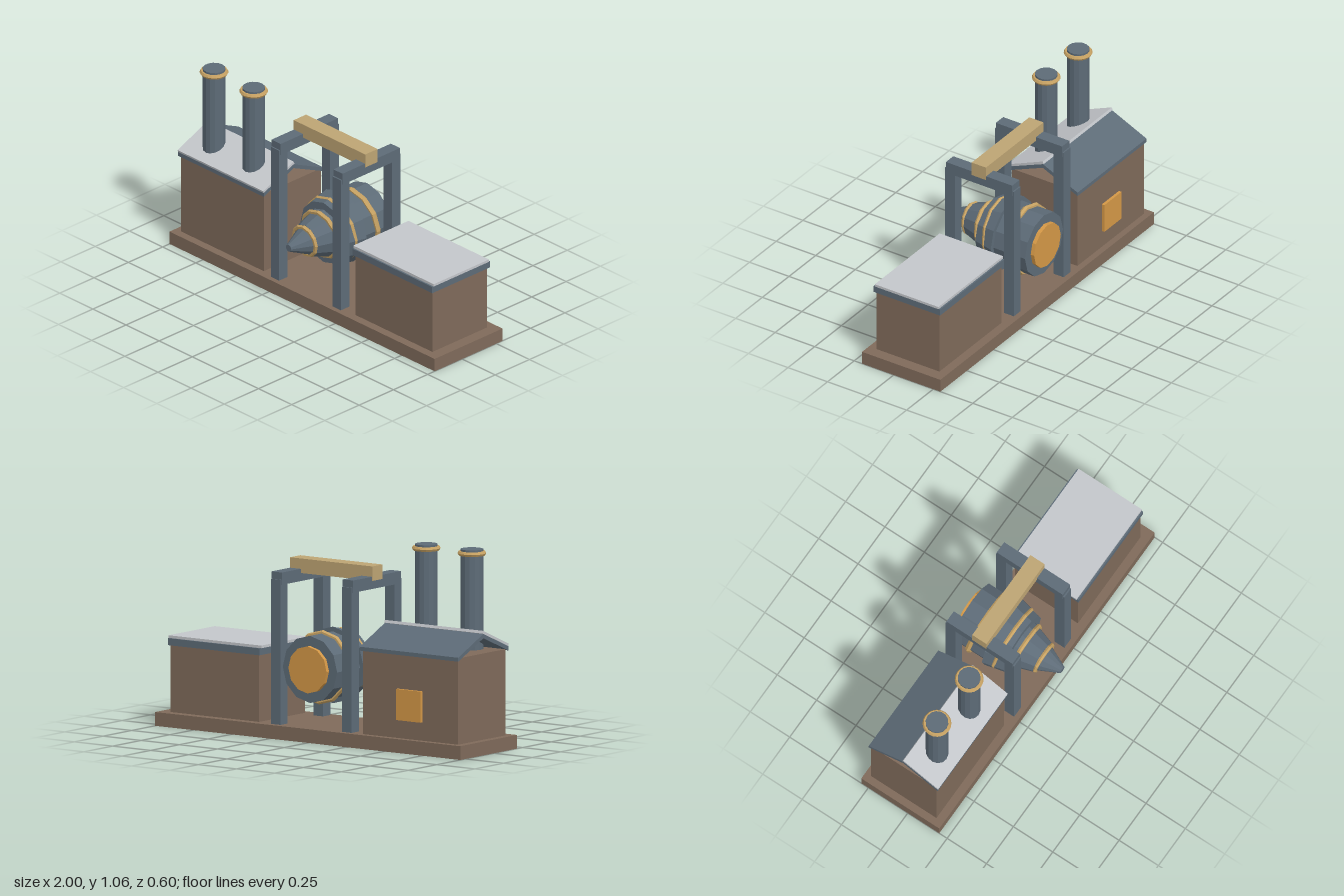
import * as THREE from 'three';

const mat = (name, color) => {
  const m = new THREE.MeshStandardMaterial({ color });
  m.name = name;
  m.flatShading = true;
  return m;
};

export function createModel() {
  const model = new THREE.Group();
  model.name = 'industrialPlant';
  const brown = mat('brown', 0x7f6a5a);
  const slate = mat('slate', 0x5d6b77);
  const pale = mat('paleGrey', 0xc3c6ca);
  const brass = mat('brass', 0xc7a263);
  const tan = mat('tan', 0xbda473);
  const amber = mat('amber', 0xd39746);

  const add = (name, geo, material, parent = model) => {
    const mesh = new THREE.Mesh(geo, material);
    mesh.name = name;
    parent.add(mesh);
    return mesh;
  };
  // Box given by its limits on each axis
  const box = (name, [x0, x1], [y0, y1], [z0, z1], material) => {
    const mesh = add(name, new THREE.BoxGeometry(x1 - x0, y1 - y0, z1 - z0), material);
    mesh.position.set((x0 + x1) / 2, (y0 + y1) / 2, (z0 + z1) / 2);
    return mesh;
  };
  // Prism along x from a cross-section of [z, y] points
  const prism = (name, points, x0, x1, material) => {
    const shape = new THREE.Shape(points.map(([z, y]) => new THREE.Vector2(-z, y)));
    const geo = new THREE.ExtrudeGeometry(shape, { depth: x1 - x0, bevelEnabled: false });
    geo.rotateY(Math.PI / 2).translate(x0, 0, 0);
    return add(name, geo, material);
  };

  box('base', [-1, 1], [0, 0.073], [-0.295, 0.2], brown);

  // Tall building with pitched roof
  box('tallBuilding', [-0.96, -0.335], [0.073, 0.53], [-0.26, 0.155], brown);
  const x0 = -0.968, x1 = -0.322;
  prism('roofSlabs', [[0.168, 0.522], [0.168, 0.544], [-0.05, 0.636], [-0.27, 0.536],
    [-0.27, 0.515], [-0.05, 0.613]], x0, x1, slate);
  prism('roofPanel', [[0.168, 0.545], [0.172, 0.557], [-0.05, 0.652], [-0.056, 0.638]], x0, x1, pale);
  box('rearHatch', [-0.725, -0.565], [0.17, 0.335], [-0.276, -0.255], amber);

  // Chimneys with brass collars
  for (const x of [-0.812, -0.513]) {
    const chimney = new THREE.Group();
    chimney.name = 'chimney';
    chimney.position.set(x, 0, 0.057);
    model.add(chimney);
    add('chimneyPipe', new THREE.CylinderGeometry(0.06, 0.06, 0.53, 14).translate(0, 0.795, 0), slate, chimney);
    add('chimneyCollar', new THREE.TorusGeometry(0.063, 0.013, 6, 20)
      .rotateX(Math.PI / 2).translate(0, 1.038, 0), brass, chimney);
  }

  // Low building with flat roof
  box('lowBuilding', [0.355, 0.935], [0.073, 0.43], [-0.245, 0.153], brown);
  box('lowRoof', [0.345, 0.945], [0.428, 0.465], [-0.256, 0.164], slate);
  box('lowRoofPanel', [0.34, 0.947], [0.465, 0.479], [-0.247, 0.155], pale);

  // Gantry: two mirrored frames and a cross beam
  for (const side of [-1, 1]) {
    const span = (a, b) => (side > 0 ? [a, b] : [-b, -a]);
    box('frontPost', span(0.202, 0.264), [0.073, 0.842], [0.11, 0.172], slate);
    box('backPost', span(0.202, 0.264), [0.073, 0.842], [-0.263, -0.2], slate);
    box('frameBeam', span(0.199, 0.268), [0.815, 0.88], [-0.255, 0.164], slate);
  }
  box('crossBeam', [-0.27, 0.27], [0.858, 0.935], [-0.09, 0], tan);

  // Turbine, lying along z
  const turbine = new THREE.Group();
  turbine.name = 'turbine';
  turbine.position.set(0, 0.387, 0);
  model.add(turbine);
  const stage = (name, rBack, rFront, z0, z1, material) => add(name,
    new THREE.CylinderGeometry(rFront, rBack, z1 - z0, 12)
      .rotateX(Math.PI / 2).translate(0, 0, (z0 + z1) / 2), material, turbine);
  stage('drum', 0.178, 0.178, -0.275, -0.06, slate);
  stage('shoulder', 0.203, 0.175, -0.075, 0.042, slate);
  stage('taper', 0.135, 0.09, 0.04, 0.175, slate);
  stage('nose', 0.083, 0.02, 0.165, 0.298, slate);
  stage('rearPlate', 0.125, 0.125, -0.297, -0.265, amber);

  // Slightly tilted brass rings: radius, tube, z
  for (const [r, tube, z] of [[0.18, 0.016, -0.178], [0.18, 0.013, -0.018],
    [0.13, 0.013, 0.065], [0.082, 0.012, 0.178]]) {
    const ring = add('turbineRing', new THREE.TorusGeometry(r, tube, 6, 12), brass, turbine);
    ring.position.z = z;
    ring.rotation.x = 0.1;
  }
  return model;
}
